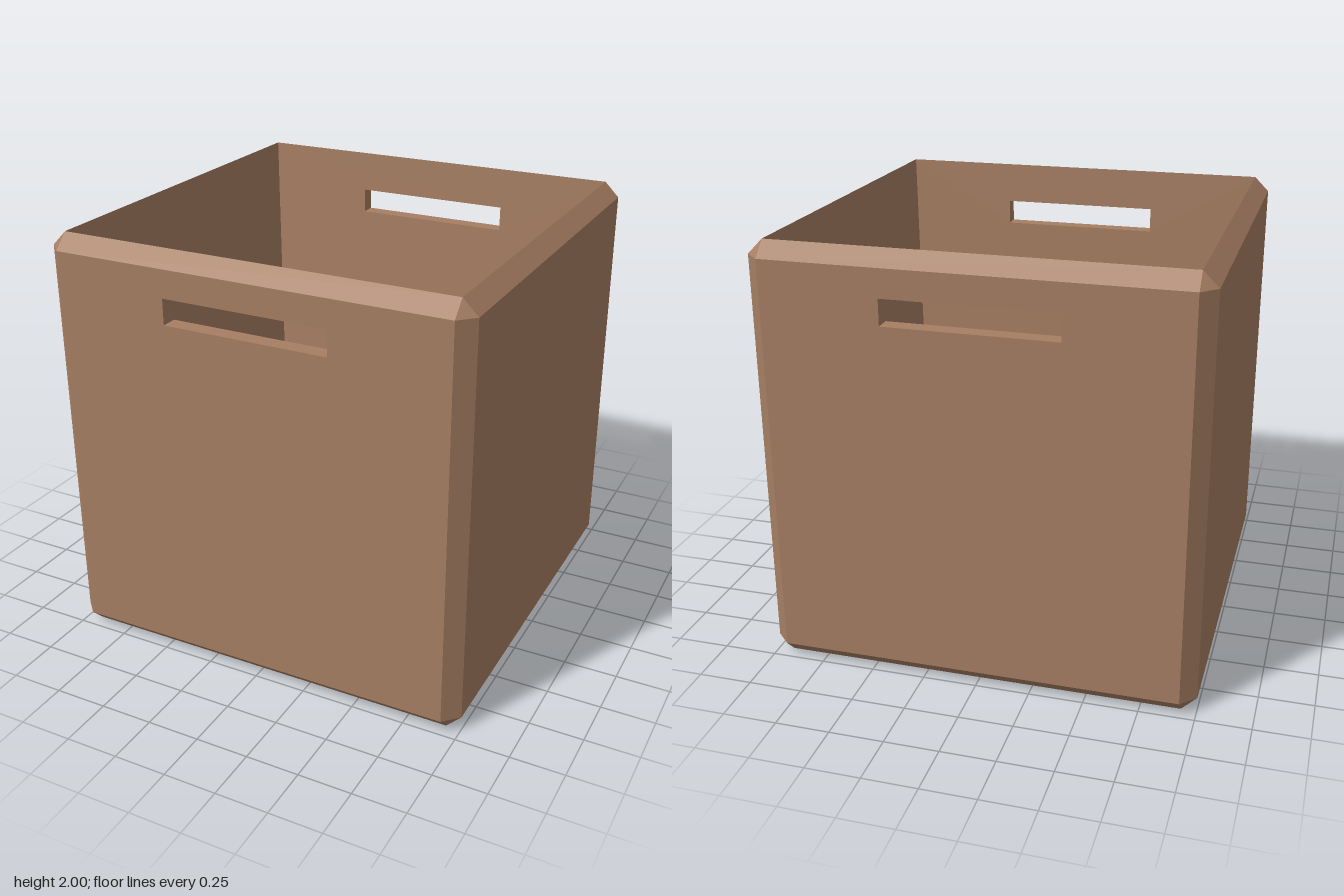
import * as THREE from 'three';

const C = 0.93;                // half width inside the chamfers
const LOW = 0.07, HIGH = 1.93; // bottom and top of the flat wall faces
const FLOOR = 0.08, FLOOR_HALF = 0.89;
const HOLE = [[-0.39, 1.68], [0.39, 1.68], [0.39, 1.8], [-0.39, 1.8]];

// Depth of the slightly tapered inner wall at height y
const innerZ = (y) => FLOOR_HALF + (C - FLOOR_HALF) * (y - FLOOR) / (2 - FLOOR);

// Flat wall panel, optionally with the hand hole cut out
function panel(corners, hasHole) {
  const toPoints = (list) => list.map(([x, y]) => new THREE.Vector2(x, y));
  const shape = new THREE.Shape(toPoints(corners));
  if (hasHole) shape.holes.push(new THREE.Path(toPoints(HOLE).reverse()));
  return new THREE.ShapeGeometry(shape).toNonIndexed().getAttribute('position');
}

// One side of the box facing +z, with its right-hand corner
function sideGeometry(hasHole) {
  const out = [];
  const tri = (a, b, c) => out.push(...a, ...b, ...c);
  const quad = (a, b, c, d) => { tri(a, b, c); tri(a, c, d); };

  // Outer and inner wall faces
  const outer = panel([[-C, LOW], [C, LOW], [C, HIGH], [-C, HIGH]], hasHole);
  for (let i = 0; i < outer.count; i++) out.push(outer.getX(i), outer.getY(i), 1);
  const inner = panel([[-FLOOR_HALF, FLOOR], [FLOOR_HALF, FLOOR], [C, 2], [-C, 2]], hasHole);
  for (let i = inner.count - 1; i >= 0; i--) {
    out.push(inner.getX(i), inner.getY(i), innerZ(inner.getY(i)));
  }

  // Chamfered edges and corners
  quad([-C, HIGH, 1], [C, HIGH, 1], [C, 2, C], [-C, 2, C]);
  quad([-C, 0, C], [C, 0, C], [C, LOW, 1], [-C, LOW, 1]);
  quad([C, LOW, 1], [1, LOW, C], [1, HIGH, C], [C, HIGH, 1]);
  tri([C, HIGH, 1], [1, HIGH, C], [C, 2, C]);
  tri([C, 0, C], [1, LOW, C], [C, LOW, 1]);

  // Faces through the thickness of the hand hole
  if (hasHole) {
    HOLE.forEach((p, i) => {
      const q = HOLE[(i + 1) % 4];
      quad([...p, 1], [...q, 1], [...q, innerZ(q[1])], [...p, innerZ(p[1])]);
    });
  }
  const geo = new THREE.BufferGeometry();
  geo.setAttribute('position', new THREE.Float32BufferAttribute(out, 3));
  geo.computeVertexNormals();
  return geo;
}

// Closed seam winding round a ball of radius r
class SeamCurve extends THREE.Curve {
  constructor(r) { super(); this.r = r; }
  getPoint(u, target = new THREE.Vector3()) {
    const t = u * Math.PI * 2, a = 0.72, b = 0.28;
    return target.set(
      a * Math.cos(t) + b * Math.cos(3 * t),
      2 * Math.sqrt(a * b) * Math.sin(2 * t),
      a * Math.sin(t) - b * Math.sin(3 * t),
    ).multiplyScalar(this.r);
  }
}

export function createModel() {
  const model = new THREE.Group();
  const brown = new THREE.MeshStandardMaterial({ color: 0xa67e63, flatShading: true });
  brown.name = 'cardboard brown';
  const white = new THREE.MeshStandardMaterial({ color: 0xdde2e5 });
  white.name = 'ball white';

  const add = (parent, name, geometry, material) => {
    const mesh = new THREE.Mesh(geometry, material);
    mesh.name = name;
    parent.add(mesh);
    return mesh;
  };

  // Four walls: front and back have hand holes
  const box = new THREE.Group();
  box.name = 'box';
  model.add(box);
  ['frontWall', 'leftWall', 'backWall', 'rightWall'].forEach((name, i) => {
    add(box, name, sideGeometry(i % 2 === 0), brown).rotation.y = i * Math.PI / 2;
  });

  // Floor inside and underside
  const floor = add(box, 'floor', new THREE.PlaneGeometry(FLOOR_HALF * 2, FLOOR_HALF * 2), brown);
  floor.rotation.x = -Math.PI / 2;
  floor.position.y = FLOOR;
  const underside = add(box, 'underside', new THREE.PlaneGeometry(C * 2, C * 2), brown);
  underside.rotation.x = Math.PI / 2;

  // Two small balls resting on the floor
  const plainBall = add(model, 'plainBall', new THREE.SphereGeometry(0.072, 32, 16), white);
  plainBall.position.set(-0.265, FLOOR + 0.072, 0);

  const seamedBall = new THREE.Group();
  seamedBall.name = 'seamedBall';
  seamedBall.position.set(0, FLOOR + 0.075, 0);
  model.add(seamedBall);
  add(seamedBall, 'ball', new THREE.SphereGeometry(0.072, 32, 16), white);
  const seam = add(seamedBall, 'seam', new THREE.TubeGeometry(new SeamCurve(0.072), 96, 0.003, 6, true), white);
  seam.rotation.y = Math.PI / 4;

  return model;
}
